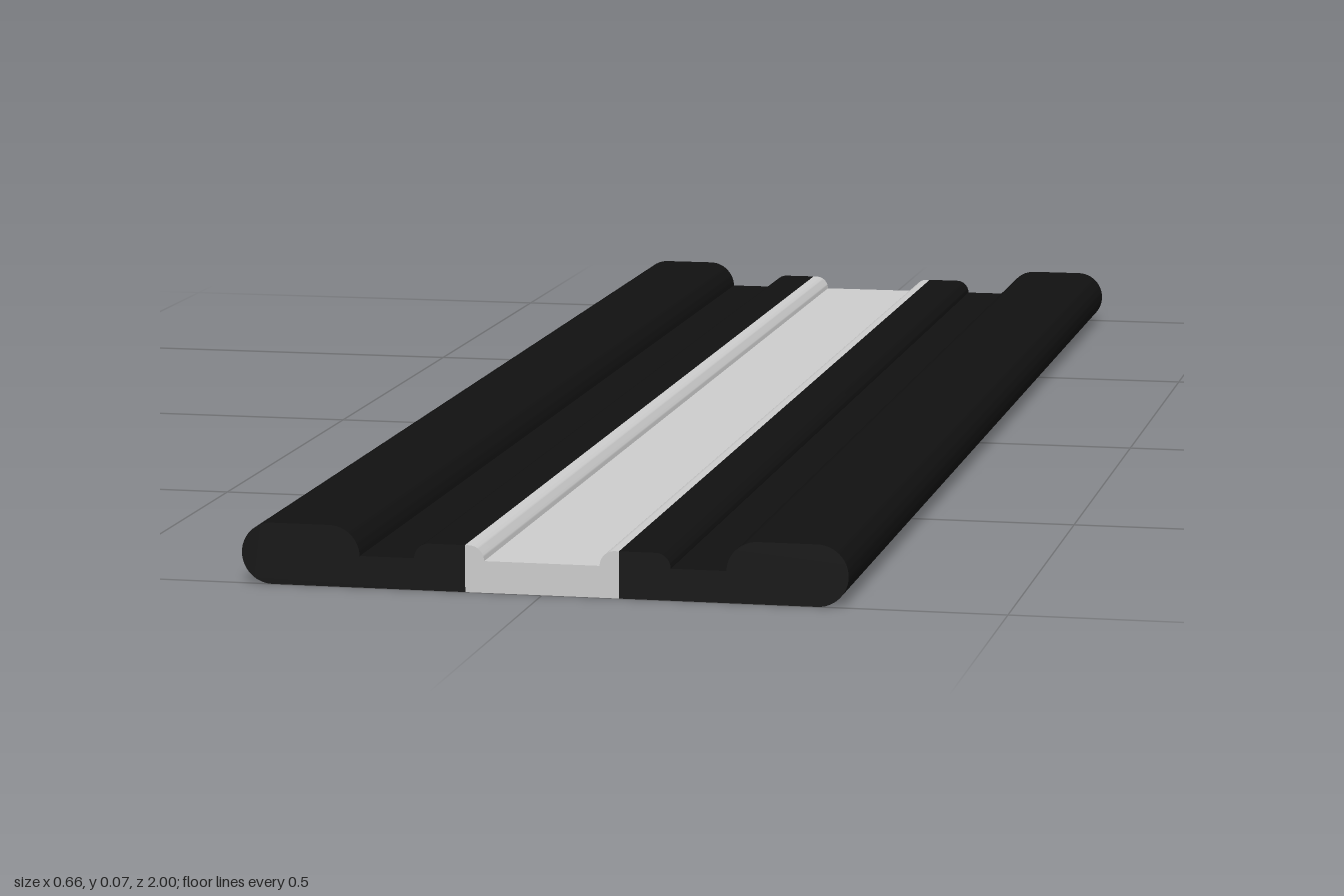
import * as THREE from 'three';
import { toCreasedNormals } from 'three/addons/utils/BufferGeometryUtils.js';

const LENGTH = 2;
const HALF = 0.331;    // half of the overall width
const TOP = 0.067;     // height of the side rails
const WEB = 0.0345;    // height of the sunken floors
const RIDGE = 0.051;   // height of the inner ridges
const SEAM = 0.084;    // where the centre strip meets the side strips
const R = TOP / 2;     // rail rounding
const r = RIDGE - WEB; // ridge rounding

// Points of an arc, angles in quarter turns
function arc(cx, cy, radius, from, to, steps = 12) {
  const points = [];
  for (let i = 0; i <= steps; i++) {
    const a = (from + (to - from) * i / steps) * Math.PI / 2;
    points.push([cx + radius * Math.cos(a), cy + radius * Math.sin(a)]);
  }
  return points;
}

const mirror = (points) => points.map(([x, y]) => [-x, y]).reverse();

// Extrudes a cross-section along the whole length
function strip(name, points, color) {
  const shape = new THREE.Shape(points.map(([x, y]) => new THREE.Vector2(x, y)));
  const geometry = new THREE.ExtrudeGeometry(shape, { depth: LENGTH, bevelEnabled: false });
  geometry.translate(0, 0, -LENGTH / 2);
  const material = new THREE.MeshStandardMaterial({ color });
  const mesh = new THREE.Mesh(toCreasedNormals(geometry, Math.PI / 6), material);
  mesh.name = name;
  return mesh;
}

export function createModel() {
  const group = new THREE.Group();
  group.name = 'profileStrip';

  // Side strip: round outer rail, sunken floor, half of the ridge
  const side = [
    [SEAM, 0],
    ...arc(HALF - R, R, R, -1, 1, 24),
    ...arc(0.2 + R, R, R, 1, 2),
    [0.2, WEB],
    ...arc(0.14 - r, WEB, r, 0, 1),
    [SEAM, RIDGE],
  ];
  group.add(strip('leftSideStrip', side, 0x111111));
  group.add(strip('rightSideStrip', mirror(side), 0x111111));

  // Centre strip: flat floor between two rounded lips
  const lip = [
    [SEAM, 0],
    [SEAM, RIDGE],
    ...arc(0.063 + r, WEB, r, 1, 2),
  ];
  group.add(strip('centreStrip', [...lip, ...mirror(lip)], 0xcccccc));

  return group;
}
